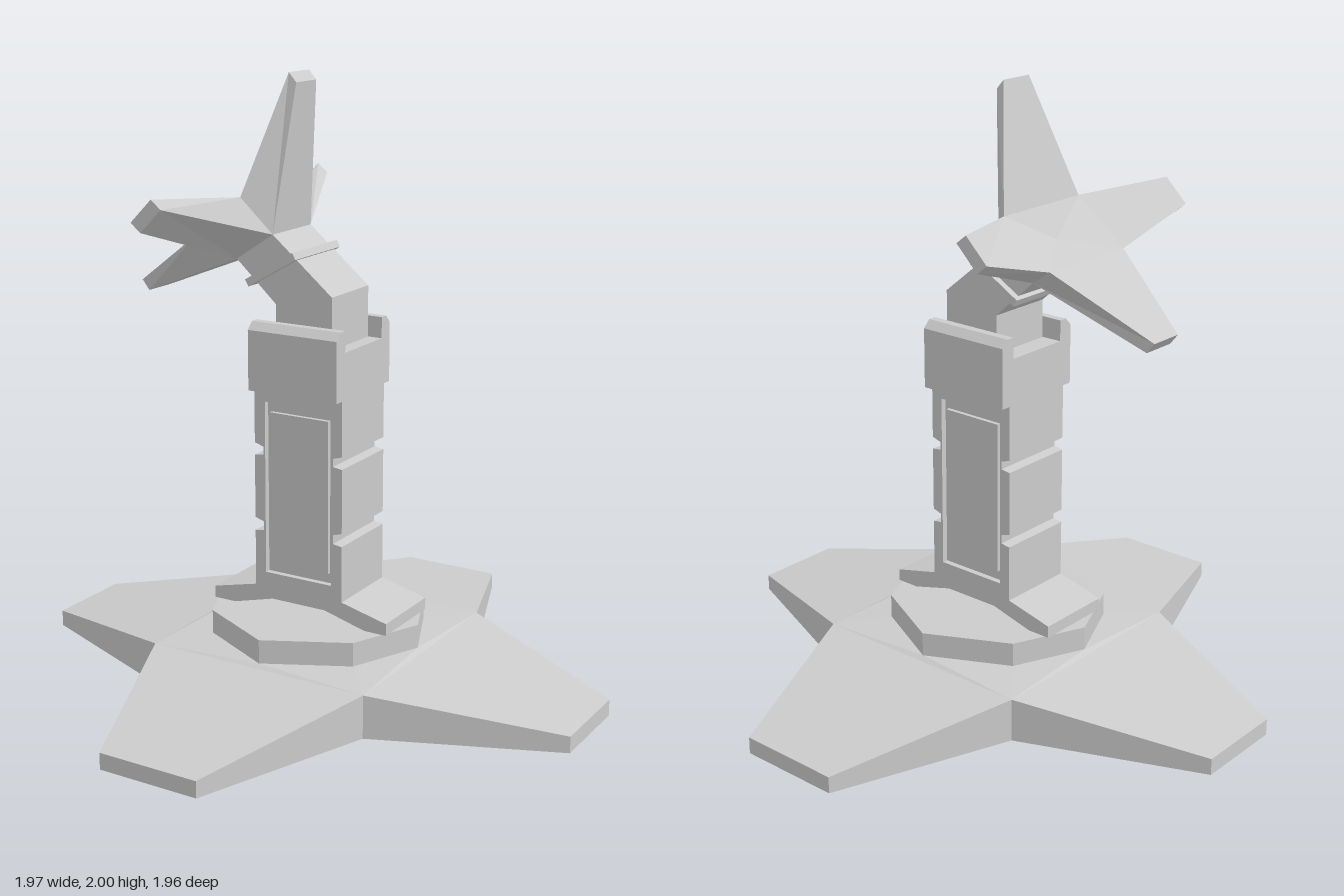
import * as THREE from 'three';

const material = new THREE.MeshStandardMaterial({ color: 0xcccccc, flatShading: true });
const shellMaterial = new THREE.MeshStandardMaterial({ color: 0xcccccc, flatShading: true, side: THREE.DoubleSide });

function addMesh(parent, name, geometry, mat = material) {
  const mesh = new THREE.Mesh(geometry, mat);
  mesh.name = name;
  parent.add(mesh);
  return mesh;
}

// Flat-shaded geometry from convex polygons, each a list of [x, y, z]
function fromFaces(faces) {
  const pos = [];
  for (const f of faces) {
    for (let i = 1; i < f.length - 1; i++) pos.push(...f[0], ...f[i], ...f[i + 1]);
  }
  const g = new THREE.BufferGeometry();
  g.setAttribute('position', new THREE.Float32BufferAttribute(pos, 3));
  g.computeVertexNormals();
  return g;
}

const vec2 = (pts) => pts.map(([x, y]) => new THREE.Vector2(x, y));

// Profile in x/y extruded between two z values
function slab(points, z0, z1, hole) {
  const shape = new THREE.Shape(vec2(points));
  if (hole) shape.holes.push(new THREE.Path(vec2(hole)));
  const g = new THREE.ExtrudeGeometry(shape, { depth: z1 - z0, bevelEnabled: false });
  return g.translate(0, 0, z0);
}

// Complete a right-hand half profile with its mirror image
const mirrored = (half) => [...half, ...half.map(([x, y]) => [-x, y]).reverse()];

// Four-armed hollow foot with an octagonal drum, both open underneath
function baseFaces() {
  const star = [], ring = [];
  const foot = [], drum = [];
  // Each arm: tip corner, tip corner, valley; the tips differ along x and z
  const outline = [
    [0.985, -0.155], [0.985, 0.155], [0.395, 0.395],
    [0.175, 0.98], [-0.175, 0.98], [-0.395, 0.395],
    [-0.985, 0.155], [-0.985, -0.155], [-0.395, -0.395],
    [-0.175, -0.98], [0.175, -0.98], [0.395, -0.395],
  ];
  outline.forEach(([x, z], i) => star.push([x, i % 3 === 2 ? 0.145 : 0.055, z]));
  [[0.375, 0], [0.27, 0.24], [0, 0.375], [-0.27, 0.24], [-0.375, 0], [-0.27, -0.24], [0, -0.375], [0.27, -0.24]]
    .forEach(([x, z]) => ring.push([x, 0.155, z]));
  const at = (p, y) => [p[0], y, p[2]];

  star.forEach((p, i) => {
    const q = star[(i + 1) % 12];
    foot.push([p, q, at(q, 0), at(p, 0)]);
  });
  for (let k = 0; k < 4; k++) {
    const a = star[k * 3], b = star[k * 3 + 1];
    const v1 = star[k * 3 + 2], v0 = star[(k * 3 + 11) % 12];
    const r0 = ring[(k * 2 + 7) % 8], r = ring[k * 2], r1 = ring[k * 2 + 1];
    foot.push([v0, v1, b, a], [r, v1, v0], [r0, r, v0], [r, r1, v1]);
  }
  ring.forEach((p, i) => {
    const q = ring[(i + 1) % 8];
    drum.push([at(p, 0.235), at(q, 0.235), q, p]);
  });
  drum.push(ring.map((p) => at(p, 0.235)).reverse());
  return { foot, drum };
}

// Concave head: four flared blades around a square neck joint
function headFaces() {
  const blades = [
    { p: [-0.075, 2.0, 0.06], q: [-0.075, 2.0, -0.06], back: [0.027, -0.03] },
    { p: [-0.3, 1.64, -0.49], q: [-0.378, 1.563, -0.49], back: [0.036, -0.029] },
    { p: [-0.66, 1.285, -0.06], q: [-0.66, 1.285, 0.06], back: [0.027, -0.034] },
    { p: [-0.378, 1.563, 0.49], q: [-0.3, 1.64, 0.49], back: [0.036, -0.029] },
  ];
  const square = (top, low, z) => [[...top, -z], [...low, -z], [...low, z], [...top, z]];
  const valley = square([-0.18, 1.617], [-0.36, 1.475], 0.182);
  const corner = square([-0.103, 1.495], [-0.24, 1.405], 0.115);
  const center = [-0.24, 1.52, 0];
  const faces = [];
  blades.forEach(({ p, q, back }, i) => {
    const j = (i + 3) % 4;
    const pb = [p[0] + back[0], p[1] + back[1], p[2]];
    const qb = [q[0] + back[0], q[1] + back[1], q[2]];
    faces.push(
      [valley[j], p, q, valley[i]], [center, valley[j], valley[i]],
      [corner[j], corner[i], qb, pb], [q, p, pb, qb],
      [valley[i], q, qb, corner[i]], [p, valley[j], corner[j], pb],
    );
  });
  return faces;
}

export function createModel() {
  const model = new THREE.Group();
  model.name = 'pedestalTurbine';

  const { foot, drum } = baseFaces();
  addMesh(model, 'starFoot', fromFaces(foot), shellMaterial);
  addMesh(model, 'octagonDrum', fromFaces(drum), shellMaterial);

  // Splayed bracket under the column
  addMesh(model, 'footBracket', slab(mirrored([
    [0.1, 0.275], [0.25, 0.235], [0.33, 0.235], [0.33, 0.275], [0.165, 0.315],
  ]), -0.135, 0.135));

  // Column with side grooves, and framed panels front and back
  const column = new THREE.Group();
  column.name = 'column';
  model.add(column);
  const profile = mirrored([
    [0.165, 0.315], [0.165, 0.505], [0.132, 0.51], [0.132, 0.54], [0.165, 0.55],
    [0.165, 0.765], [0.132, 0.77], [0.132, 0.797], [0.165, 0.807], [0.165, 0.99],
  ]);
  const opening = mirrored([[0.125, 0.365], [0.125, 0.95]]);
  const panel = mirrored([[0.11, 0.4], [0.11, 0.915]]);
  addMesh(column, 'columnCore', slab(profile, -0.115, 0.115));
  for (const [side, z] of [['front', 0.115], ['back', -0.135]]) {
    addMesh(column, side + 'Frame', slab(profile, z, z + 0.02, opening));
    const inset = side === 'front' ? z : z + 0.006;
    addMesh(column, side + 'Panel', slab(panel, inset, inset + 0.014));
  }

  // Slotted cap, open along x
  const cap = slab(mirrored([
    [0.17, 0.99], [0.17, 1.19], [0.145, 1.215], [0.117, 1.215], [0.117, 1.145],
  ]), -0.165, 0.165);
  addMesh(model, 'slottedCap', cap.rotateY(Math.PI / 2));

  // Bent neck with its collar
  addMesh(model, 'neck', slab([
    [-0.093, 1.145], [0.115, 1.145], [0.115, 1.315],
    [-0.103, 1.495], [-0.24, 1.405], [-0.093, 1.272],
  ], -0.115, 0.115));
  const collar = addMesh(model, 'collar', new THREE.BoxGeometry(0.205, 0.025, 0.275));
  collar.position.set(-0.1, 1.386, 0);
  collar.rotation.z = Math.PI / 6;

  addMesh(model, 'bladedHead', fromFaces(headFaces()));
  return model;
}
